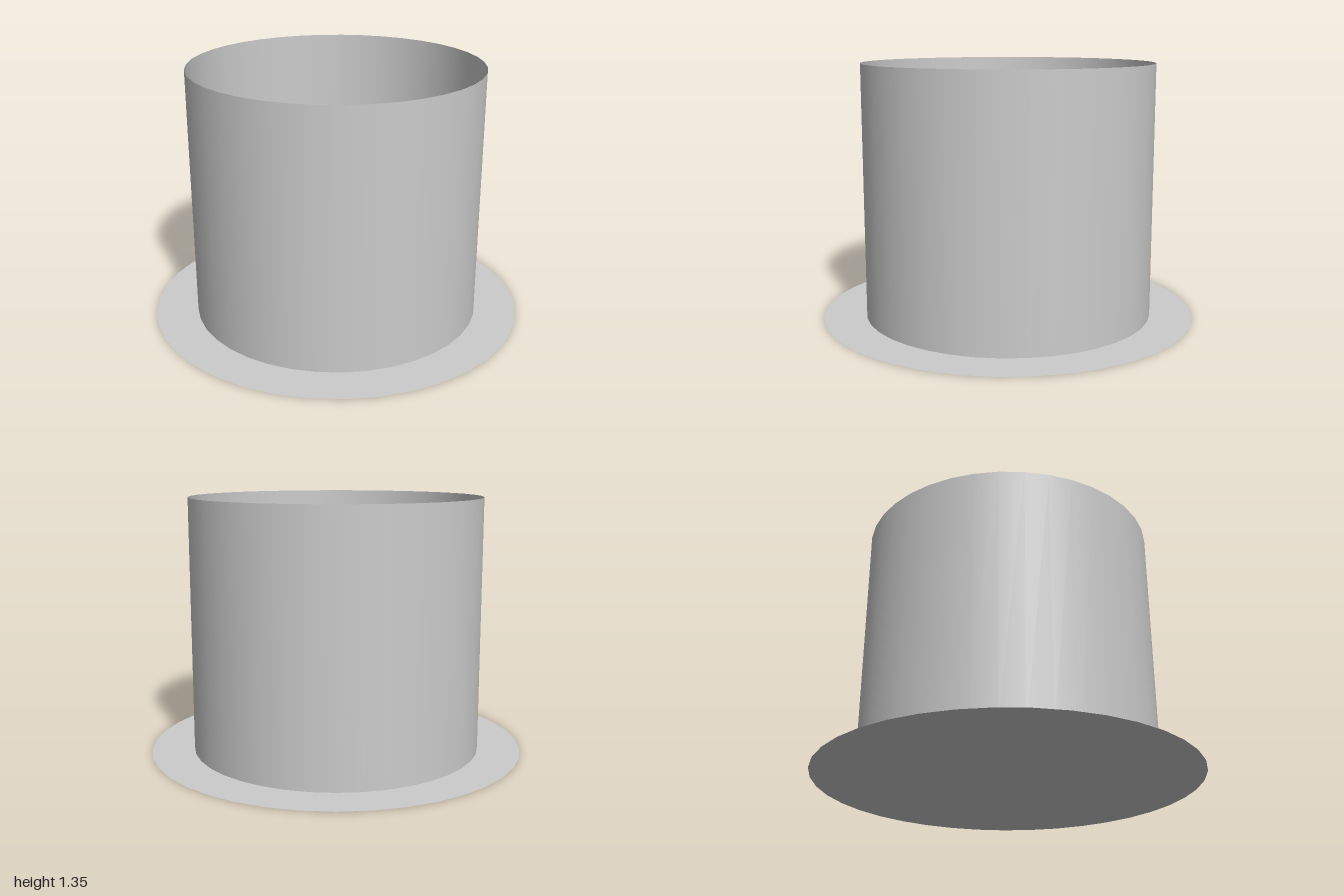
import * as THREE from 'three';

export function createModel() {
  const model = new THREE.Group();
  const material = new THREE.MeshStandardMaterial({ color: 0xcccccc, side: THREE.DoubleSide });
  const sides = 39;

  const add = (name, geometry) => {
    const mesh = new THREE.Mesh(geometry, material);
    mesh.name = name;
    mesh.position.x = -0.0016; // centres the odd-sided outline
    model.add(mesh);
    return mesh;
  };

  // Flat round base, closing the tube and forming the brim
  add('baseDisc', new THREE.CircleGeometry(1.0008, sides).rotateX(-Math.PI / 2));

  // Thin open-topped wall
  const height = 1.35;
  const wall = new THREE.CylinderGeometry(0.775, 0.775, height, sides, 1, true, Math.PI / 2);
  add('tubeWall', wall).position.y = height / 2;

  return model;
}
